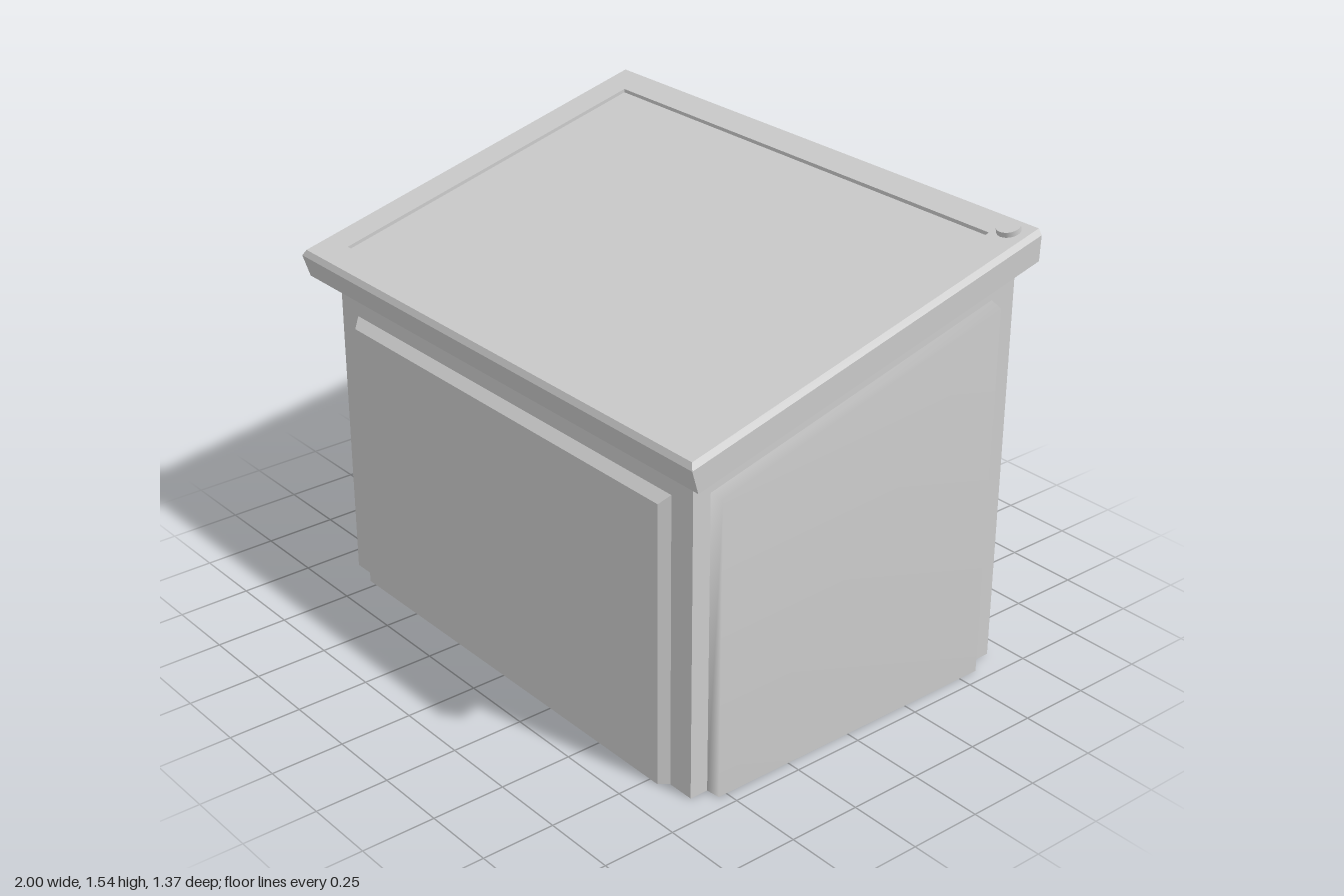
import * as THREE from 'three';
import { mergeVertices } from 'three/addons/utils/BufferGeometryUtils.js';

const material = new THREE.MeshStandardMaterial({ color: 0xcccccc, side: THREE.DoubleSide });
const SLOPE = 0.2525;
const roofY = z => 1.19 + (0.675 - z) * SLOPE;
const wallTop = z => roofY(z) - 0.103;

// Collects four-cornered faces into a thin surface
function surface(name, quads, smooth = false) {
  const pos = quads.flatMap(([a, b, c, d]) => [a, b, c, a, c, d]).flat();
  let geometry = new THREE.BufferGeometry();
  geometry.setAttribute('position', new THREE.Float32BufferAttribute(pos, 3));
  if (smooth) geometry = mergeVertices(geometry);
  geometry.computeVertexNormals();
  const mesh = new THREE.Mesh(geometry, material);
  mesh.name = name;
  return mesh;
}

// Faces between two four-cornered rings; three segments leave one edge open
function strip(outer, inner, segments = 4) {
  return Array.from({ length: segments }, (_, i) => {
    const j = (i + 1) % 4;
    return [outer[i], inner[i], inner[j], outer[j]];
  });
}
const cap = ring => [ring[0], ring[3], ring[2], ring[1]];

// Wall sheet with a raised panel pressed out of it
function pressedWall(name, wall, base, face, smooth) {
  const group = new THREE.Group();
  group.name = name;
  group.add(surface(name + 'Frame', strip(wall, base, 3)));
  group.add(surface(name + 'Panel', [...strip(base, face), cap(face)], smooth));
  return group;
}

// Front wall
function frontWall() {
  const ring = (hx, y, z) => [[-hx, 0, z], [-hx, y, z], [hx, y, z], [hx, 0, z]];
  return pressedWall('frontWall', ring(0.905, wallTop(0.6), 0.6),
    ring(0.81, 0.99, 0.6), ring(0.785, 0.96, 0.63), false);
}

// Side walls: sloping top, panel raised outwards
function sideWall(name, side, raise) {
  const ring = (x, front, back, drop) => {
    const r = [[front, 0], [front, wallTop(front) - drop], [back, wallTop(back) - drop], [back, 0]]
      .map(([z, y]) => [side * x, y, z]);
    return side > 0 ? r : r.reverse();
  };
  return pressedWall(name, ring(0.905, 0.6, -0.68, 0),
    ring(0.905, 0.535, -0.585, 0.108), ring(0.905 + raise, 0.53, -0.575, 0.115), true);
}

// Roof: soffit, skirt and chamfer open at the back, recessed panel on top
function roof() {
  const ring = (hx, front, back, lift) =>
    [[hx, back], [hx, front], [-hx, front], [-hx, back]].map(([x, z]) => [x, roofY(z) + lift, z]);
  const soffit = ring(0.905, 0.6, -0.68, -0.103);
  const skirtBottom = ring(0.997, 0.66, -0.68, -0.103);
  const skirtTop = ring(1, 0.685, -0.68, -0.018);
  const top = ring(0.987, 0.675, -0.68, 0);
  const rim = ring(0.875, 0.585, -0.585, 0);
  const floor = ring(0.875, 0.585, -0.585, -0.012);
  const group = new THREE.Group();
  group.name = 'roof';
  group.add(surface('roofSkirt', [
    ...strip(soffit, skirtBottom, 3), ...strip(skirtBottom, skirtTop, 3), ...strip(skirtTop, top, 3)]));
  group.add(surface('roofFrame', strip(top, rim)));
  group.add(surface('roofPanel', [...strip(rim, floor), cap(floor)]));
  return group;
}

export function createModel() {
  const model = new THREE.Group();
  model.name = 'shelter';
  model.add(frontWall(), sideWall('leftWall', 1, 0.048), sideWall('rightWall', -1, 0.036), roof());

  // Round cap on the roof corner
  const knob = new THREE.Mesh(new THREE.CylinderGeometry(0.038, 0.038, 0.03, 24), material);
  knob.name = 'roofKnob';
  knob.position.set(0.92, roofY(-0.62) + 0.003, -0.622);
  knob.rotation.x = Math.atan(SLOPE);
  model.add(knob);
  return model;
}
